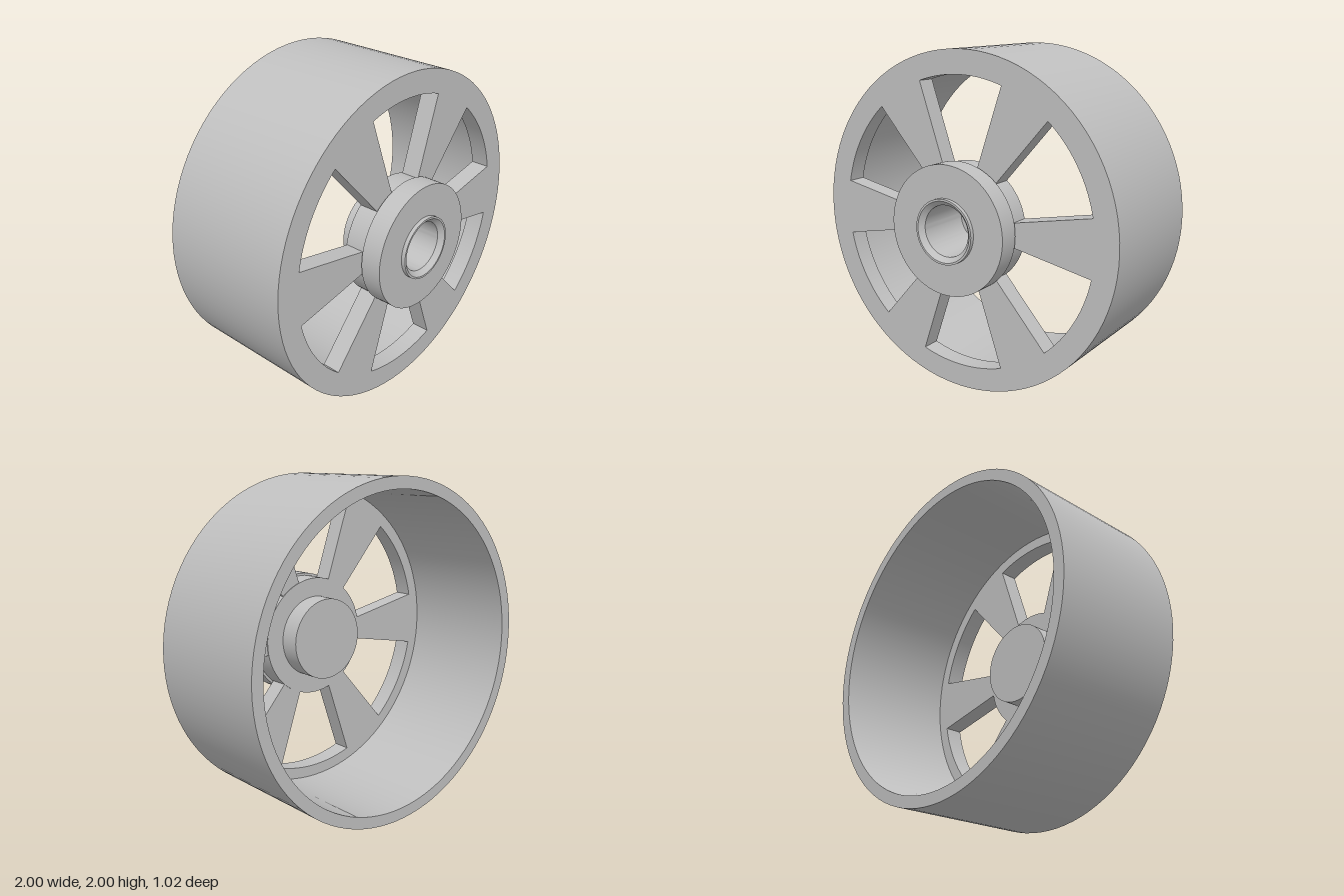
import * as THREE from 'three';
import { toCreasedNormals } from 'three/addons/utils/BufferGeometryUtils.js';

const SEGMENTS = 96;

export function createModel() {
  const wheel = new THREE.Group();
  wheel.name = 'wheel';
  const grey = new THREE.MeshStandardMaterial({ color: 0xc0c0c0 });
  grey.name = 'grey';

  const addPart = (name, geometry) => {
    const mesh = new THREE.Mesh(toCreasedNormals(geometry, 0.4), grey);
    mesh.name = name;
    mesh.position.y = 1;
    wheel.add(mesh);
  };

  // Turned solid around the z axis from [radius, z] points
  const turned = (profile) =>
    new THREE.LatheGeometry(profile.map(([r, z]) => new THREE.Vector2(r, z)), SEGMENTS).rotateX(Math.PI / 2);

  // Deep barrel, open at the back
  addPart('rimBarrel', turned([
    [0.93, -0.51], [1, -0.51], [1, 0.345], [0.93, 0.345], [0.93, -0.51],
  ]));

  // Front plate: six wedge windows leave six flared spokes and a lip
  const plate = new THREE.Shape();
  plate.absarc(0, 0, 0.93, 0, Math.PI * 2, false);
  const centre = new THREE.Path();
  centre.absarc(0, 0, 0.3, 0, Math.PI * 2, true);
  plate.holes.push(centre);
  const half = THREE.MathUtils.degToRad(18.8);
  for (let i = 0; i < 6; i++) {
    const mid = Math.PI / 6 + (i * Math.PI) / 3;
    const opening = new THREE.Path();
    opening.absarc(0, 0, 0.86, mid - half, mid + half, false);
    opening.absarc(0, 0, 0.36, mid + half, mid - half, true);
    opening.closePath();
    plate.holes.push(opening);
  }
  addPart('spokePlate', new THREE.ExtrudeGeometry(plate, {
    depth: 0.115, bevelEnabled: false, curveSegments: 48,
  }).translate(0, 0, 0.23));

  // Stepped hub with a blind, chamfered bore in front and a boss behind
  addPart('hub', turned([
    [0, 0.1], [0.25, 0.1], [0.25, 0.225], [0.365, 0.225], [0.365, 0.357],
    [0.38, 0.357], [0.38, 0.485], [0.19, 0.485], [0.19, 0.51], [0.178, 0.51],
    [0.15, 0.48], [0.15, 0.13], [0, 0.13],
  ]));

  return wheel;
}
